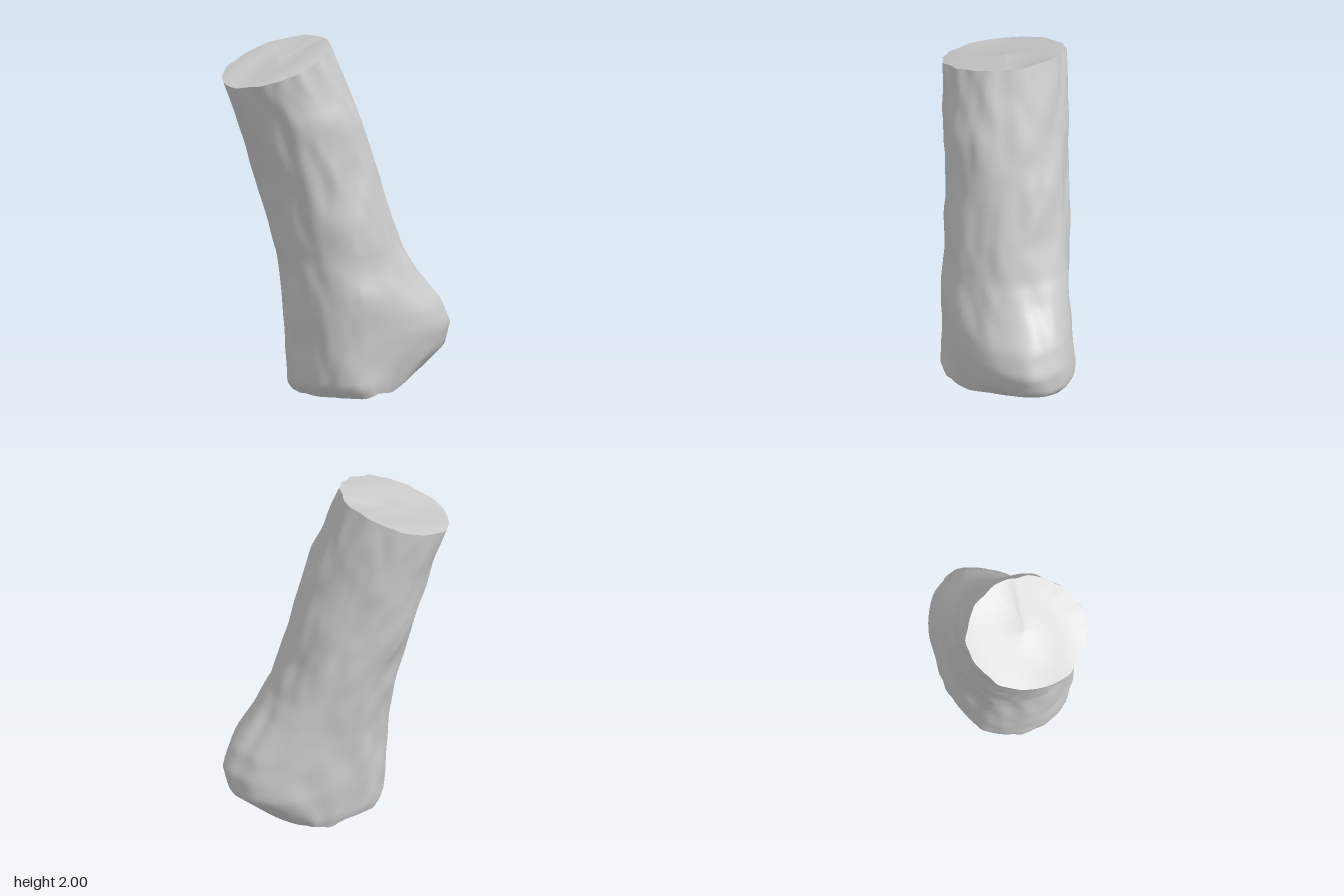
import * as THREE from 'three';

const COLS = 96, ROWS = 64;

// Trunk sections: height, front reach, heel reach, half width, sideways shift, shift at the heel.
// "Reach" runs along the diagonal in which the trunk leans.
const SECTIONS = [
  [0.00, -0.24, 0.38, 0.33, 0.06, -0.01],
  [0.06, -0.28, 0.46, 0.35, 0.07, -0.03],
  [0.22, -0.295, 0.66, 0.35, 0.07, -0.04],
  [0.35, -0.30, 0.685, 0.35, 0.07, -0.01],
  [0.48, -0.305, 0.63, 0.35, 0.07, 0.00],
  [0.60, -0.315, 0.525, 0.35, 0.065, 0.00],
  [0.68, -0.325, 0.46, 0.35, 0.055, 0.01],
  [0.80, -0.345, 0.385, 0.35, 0.04, 0.01],
  [1.00, -0.395, 0.31, 0.35, 0.03, 0.02],
  [1.20, -0.45, 0.25, 0.35, 0.02, 0.015],
  [1.60, -0.575, 0.12, 0.347, 0.015, 0.01],
  [1.80, -0.648, 0.045, 0.345, 0.0, 0.0],
  [2.00, -0.72, -0.035, 0.34, -0.01, -0.01],
];

function sectionAt(y) {
  let i = 0;
  while (i < SECTIONS.length - 2 && y > SECTIONS[i + 1][0]) i++;
  const a = SECTIONS[i], b = SECTIONS[i + 1];
  const k = THREE.MathUtils.clamp((y - a[0]) / (b[0] - a[0]), 0, 1);
  return a.map((v, n) => v + (b[n] - v) * k);
}

// Seeded value noise that wraps around the trunk
function hash(i, j, seed) {
  const v = Math.sin(i * 127.1 + j * 311.7 + seed * 74.7) * 43758.5453;
  return (v - Math.floor(v)) * 2 - 1;
}
function noise(turn, y, around, rise, seed) {
  const u = turn * around, v = y * rise, i = Math.floor(u), j = Math.floor(v);
  const f = (u - i) * (u - i) * (3 - 2 * (u - i)), g = (v - j) * (v - j) * (3 - 2 * (v - j));
  const at = (m, n) => hash((m + around) % around, n, seed);
  const low = at(i, j) * (1 - f) + at(i + 1, j) * f;
  const high = at(i, j + 1) * (1 - f) + at(i + 1, j + 1) * f;
  return low * (1 - g) + high * g;
}

// Long wandering bark ridges over larger lumps
function bark(turn, y) {
  const drift = (turn + 0.012 * Math.sin(y * 5) + 1) % 1;
  return 0.010 * noise(drift, y, 28, 3.2, 1)
    + 0.005 * noise(turn, y, 9, 4, 2)
    + 0.007 * noise(drift, y, 36, 7, 3);
}

// Point on the trunk skin at a given turn and height
function skin(turn, y) {
  const [, front, heel, width, shift, heelShift] = sectionAt(y);
  const a = turn * Math.PI * 2, c = Math.cos(a), s = Math.sin(a);
  const mid = front + 0.35, r = bark(turn, y);
  const along = mid + c * ((c > 0 ? heel - mid : mid - front) + r);
  const across = THREE.MathUtils.lerp(shift, heelShift, Math.max(0, c)) + s * (width + r);
  return new THREE.Vector3((along + across) * Math.SQRT1_2, y, (across - along) * Math.SQRT1_2);
}

// Slanted saw cut at the top; flat foot with the heel undercut at the bottom
const topCut = (p) => Math.min(2, 1.9 + 0.23 * (p.x + 0.24) - 0.29 * (p.z - 0.22));
const bottomCut = (p) => 0.02 + Math.max(0, 0.44 * p.x - 0.3 * p.z - 0.16);

// Settle a rim point onto a cut
function rim(turn, cut, start) {
  let y = start;
  for (let k = 0; k < 16; k++) y += (cut(skin(turn, y)) - y) * 0.5;
  return y;
}

// Closed ring-by-ring surface
function loft(rows, point) {
  const pos = [], index = [];
  for (let j = 0; j <= rows; j++) {
    for (let i = 0; i < COLS; i++) pos.push(...point(i, j / rows).toArray());
  }
  for (let j = 0; j < rows; j++) {
    for (let i = 0; i < COLS; i++) {
      const n = (i + 1) % COLS, a = j * COLS + i, b = j * COLS + n;
      index.push(a, a + COLS, b, b, a + COLS, b + COLS);
    }
  }
  const geo = new THREE.BufferGeometry();
  geo.setAttribute('position', new THREE.Float32BufferAttribute(pos, 3));
  geo.setIndex(index);
  geo.computeVertexNormals();
  return geo;
}

export function createModel() {
  const group = new THREE.Group();
  group.name = 'log';
  const material = new THREE.MeshStandardMaterial({ color: 0xcccccc, roughness: 0.9 });
  const add = (name, geo) => {
    const mesh = new THREE.Mesh(geo, material);
    mesh.name = name;
    group.add(mesh);
  };

  // Rim heights per column, with a slightly ragged foot
  const low = [], high = [];
  for (let i = 0; i < COLS; i++) {
    const t = i / COLS;
    low.push(rim(t, bottomCut, 0.1) + 0.018 * noise(t, 0, 18, 1, 7));
    high.push(rim(t, topCut, 1.9));
  }
  const topRim = high.map((y, i) => skin(i / COLS, y));
  const footRim = low.map((y, i) => skin(i / COLS, y));

  // Bark-covered trunk with its swollen heel
  add('trunk', loft(ROWS, (i, t) => skin(i / COLS, low[i] + (high[i] - low[i]) * t)));

  // Sawn top face, a little uneven
  const topCentre = new THREE.Vector3(-0.24, 1.9, 0.22);
  add('topFace', loft(8, (i, t) => {
    const p = topRim[i].clone().lerp(topCentre, t);
    p.y += 0.012 * Math.sin(p.x * 9 + p.z * 4) * Math.sin(Math.PI * t);
    return p;
  }));

  // Underside, flat below the trunk and rising to the heel
  const footCentre = new THREE.Vector3(0.08, 0.02, 0);
  add('underside', loft(10, (i, t) => {
    const p = footCentre.clone().lerp(footRim[i], t);
    p.y = THREE.MathUtils.lerp(bottomCut(p), p.y, t * t);
    return p;
  }));

  return group;
}
